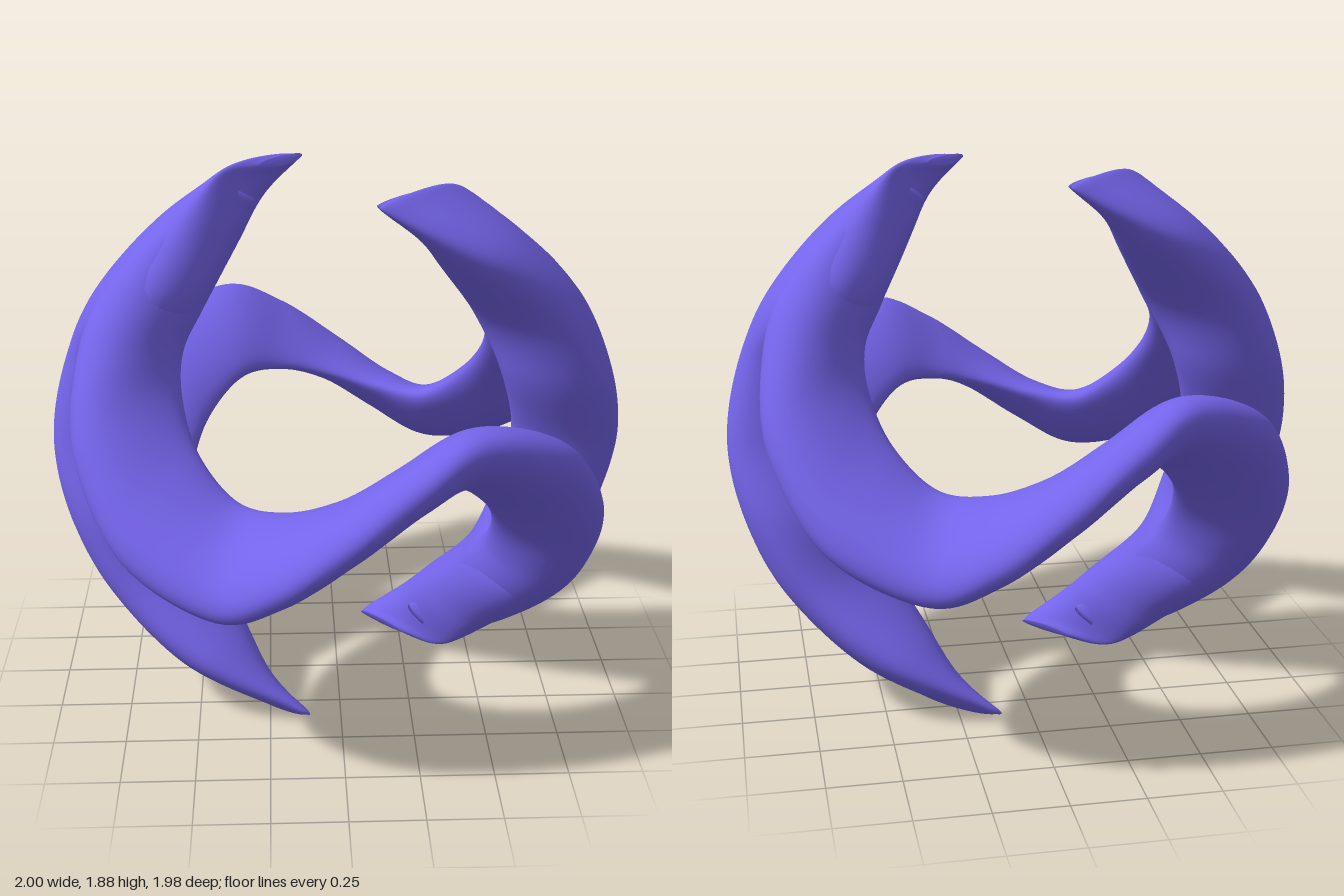
import * as THREE from 'three';

const material = new THREE.MeshStandardMaterial({ color: 0x7464ea });
const SIDES = 40, STEPS = 140;

// Each key section: [outer edge, inner edge, half-thickness vector].
// The front band twists from the front centre down into the lower right horn.
const bandKeys = [
  [[0, 0, 0.99], [0, 0, 0.62], [0.045, -0.06, 0]],
  [[0.22, 0.19, 0.95], [0.18, 0.04, 0.59], [0.04, -0.06, 0.03]],
  [[0.43, 0.29, 0.84], [0.34, 0.04, 0.5], [0.02, -0.07, 0.05]],
  [[0.72, 0.17, 0.66], [0.47, -0.08, 0.38], [0, -0.075, 0.07]],
  [[0.87, -0.1, 0.46], [0.53, -0.22, 0.22], [-0.03, -0.07, 0.08]],
  [[0.87, -0.35, 0.3], [0.53, -0.35, 0.1], [-0.05, -0.05, 0.09]],
  [[0.79, -0.56, 0.16], [0.46, -0.48, 0], [-0.06, -0.03, 0.09]],
  [[0.6, -0.75, 0], [0.36, -0.67, -0.13], [-0.03, -0.02, 0.07]],
  [[0.4, -0.87, -0.14], [0.28, -0.8, -0.2], [-0.01, -0.01, 0.03]],
];

// The crescent runs from the middle of the right side to its lower tip.
const crescentKeys = [
  [[1, 0, 0], [0.62, 0, 0], [0, -0.035, 0.1]],
  [[0.95, -0.27, -0.06], [0.57, -0.24, -0.04], [0, -0.04, 0.14]],
  [[0.83, -0.53, -0.03], [0.47, -0.45, -0.01], [-0.02, -0.03, 0.23]],
  [[0.59, -0.77, -0.16], [0.32, -0.69, -0.18], [0.02, -0.02, 0.205]],
  [[0.31, -0.925, -0.24], [0.24, -0.85, -0.25], [0.11, -0.01, 0.145]],
  [[0.19, -0.93, -0.3], [0.17, -0.9, -0.3], [0.07, 0, 0.08]],
];

// Completes a half run by a half turn about one axis.
function complete(keys, turn) {
  const spin = (p, s) => p.map((n, i) => n * turn[i] * s);
  const other = keys.slice(1).reverse()
    .map(([o, i, b]) => [spin(o, 1), spin(i, 1), spin(b, -1)]);
  return [...other, ...keys];
}

// Closed loft with rounded, slightly tear-shaped sections.
function loft(keys) {
  const curves = [0, 1, 2].map((k) => new THREE.CatmullRomCurve3(
    keys.map((key) => new THREE.Vector3(...key[k])), false, 'catmullrom', 0.5));
  const pos = [], index = [];
  for (let i = -1; i <= STEPS + 1; i++) {
    const t = Math.min(Math.max(i / STEPS, 0), 1);
    const [outer, inner, b] = curves.map((c) => c.getPoint(t));
    const centre = outer.clone().add(inner).multiplyScalar(0.5);
    const a = outer.clone().sub(centre);
    const size = i < 0 || i > STEPS ? 0.001 : 1; // ends close to a point
    for (let j = 0; j < SIDES; j++) {
      const v = (j / SIDES) * Math.PI * 2;
      const p = centre.clone()
        .addScaledVector(a, size * Math.cos(v))
        .addScaledVector(b, size * Math.sin(v) * (1 + 0.22 * Math.cos(v)));
      pos.push(p.x, p.y, p.z);
    }
  }
  for (let i = 0; i < STEPS + 2; i++) {
    for (let j = 0; j < SIDES; j++) {
      const k = (j + 1) % SIDES, r = i * SIDES, s = r + SIDES;
      index.push(r + j, r + k, s + j, r + k, s + k, s + j);
    }
  }
  const geo = new THREE.BufferGeometry();
  geo.setAttribute('position', new THREE.Float32BufferAttribute(pos, 3));
  geo.setIndex(index);
  geo.computeVertexNormals();
  return geo;
}

export function createModel() {
  const group = new THREE.Group();
  group.name = 'twistedSculpture';
  const band = loft(complete(bandKeys, [-1, -1, 1]));
  const crescent = loft(complete(crescentKeys, [1, -1, -1]));

  // Front and back bands, left and right crescents: half turns about the upright axis
  const add = (geo, name, angle) => {
    const mesh = new THREE.Mesh(geo, material);
    mesh.name = name;
    mesh.position.y = 0.94;
    mesh.rotation.y = angle;
    group.add(mesh);
  };
  add(band, 'frontBand', 0);
  add(band, 'backBand', Math.PI);
  add(crescent, 'leftCrescent', 0);
  add(crescent, 'rightCrescent', Math.PI);
  return group;
}
